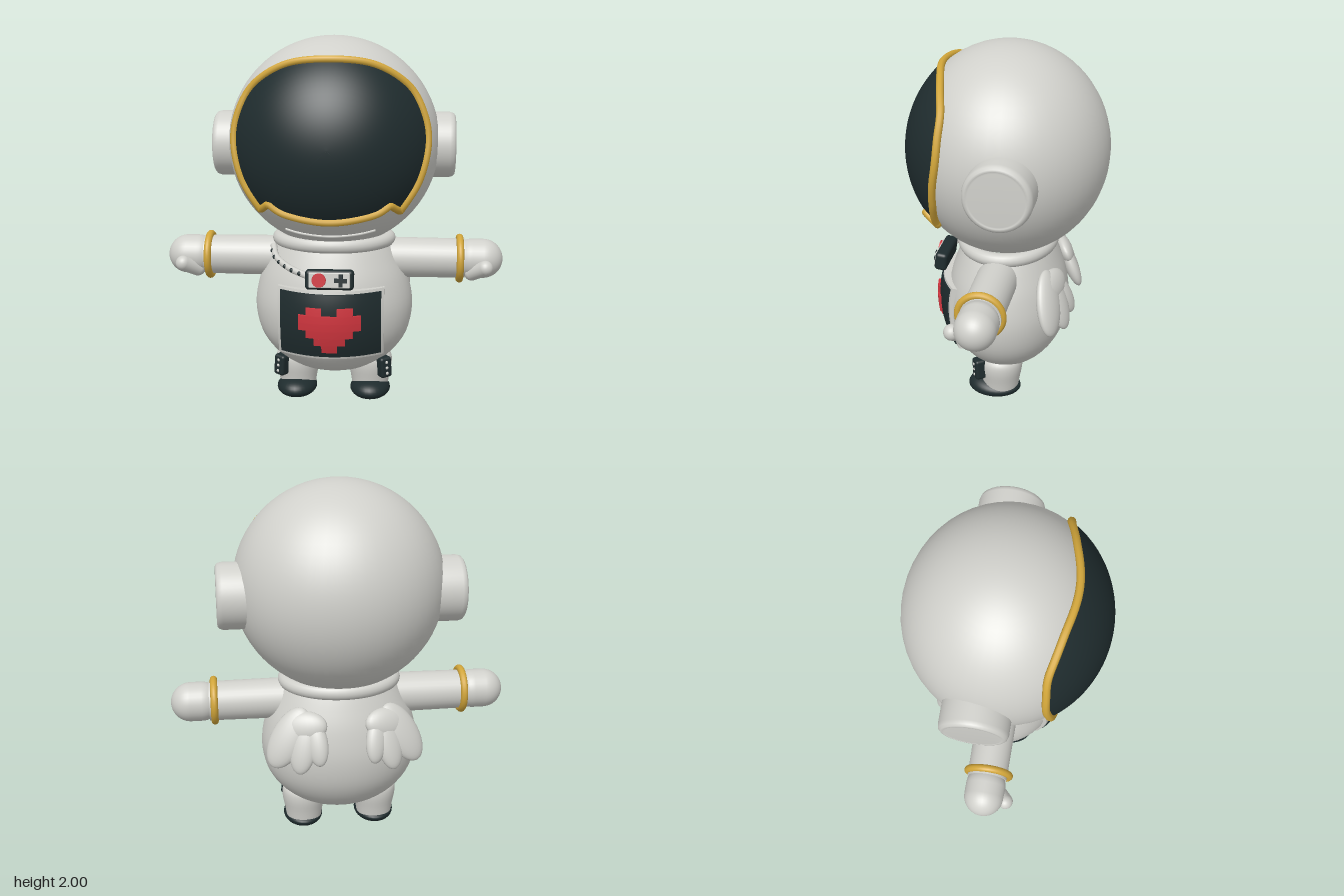
import * as THREE from 'three';
import { RoundedBoxGeometry } from 'three/addons/geometries/RoundedBoxGeometry.js';

const mat = (name, color) => {
  const m = new THREE.MeshStandardMaterial({ color });
  m.name = name;
  return m;
};
const V2 = (x, y) => new THREE.Vector2(x, y);
const V3 = (x, y, z) => new THREE.Vector3(x, y, z);

export function createModel() {
  const suit = mat('suit white', 0xd0d0cb);
  const dark = mat('dark glass', 0x1f2c2e);
  const gold = mat('gold trim', 0xd2a63a);
  const red = mat('pixel red', 0xd0353e);

  const root = new THREE.Group();
  root.name = 'astronaut';

  const add = (name, geo, material, pos = [0, 0, 0], rot = [0, 0, 0], parent = root) => {
    const m = new THREE.Mesh(geo, material);
    m.name = name;
    m.position.set(...pos);
    m.rotation.set(...rot);
    parent.add(m);
    return m;
  };
  const ball = (rx, ry, rz, w = 32, h = 24) => new THREE.SphereGeometry(1, w, h).scale(rx, ry, rz);
  const lathe = (pts, seg = 48) => new THREE.LatheGeometry(pts.map(p => V2(...p)), seg);
  const smoothLathe = (pts, n, seg) =>
    new THREE.LatheGeometry(new THREE.SplineCurve(pts.map(p => V2(...p))).getPoints(n)
      .map(p => V2(Math.max(p.x, 0), p.y)), seg);

  // Helmet
  const HY = 1.43;
  add('helmet', ball(0.57, 0.57, 0.54, 48, 36), suit, [0, HY, 0]);
  const onHelmet = (x, y, k = 1) => {
    const q = 1 - (x / (0.57 * k)) ** 2 - ((y - HY) / (0.57 * k)) ** 2;
    return V3(x, y, 0.54 * k * Math.sqrt(Math.max(q, 0)));
  };

  // Visor outline: a rounded top and two small notches at the bottom
  const half = [[0.365, 1.11], [0.46, 1.27], [0.502, 1.46], [0.475, 1.62], [0.39, 1.76], [0.22, 1.86]];
  const mirrored = half.map(([x, y]) => [-x, y]).reverse();
  const top = new THREE.SplineCurve([...half, [0, 1.885], ...mirrored].map(p => V2(...p))).getPoints(72);
  const bottom = new THREE.SplineCurve(
    [[-0.31, 1.15], [-0.22, 1.1], [0, 1.068], [0.22, 1.1], [0.31, 1.15]].map(p => V2(...p))).getPoints(28);
  const outline = [...top, V2(-0.338, 1.13), ...bottom, V2(0.338, 1.13)];

  // Visor glass: rings from the middle out to the outline, laid on the helmet
  const RINGS = 16, N = outline.length, pos = [], idx = [];
  for (let r = 0; r <= RINGS; r++) {
    for (const p of outline) {
      const t = r / RINGS;
      pos.push(...onHelmet(p.x * t, 1.45 + (p.y - 1.45) * t, 1.016).toArray());
    }
  }
  for (let r = 0; r < RINGS; r++) {
    for (let i = 0; i < N; i++) {
      const a = r * N + i, b = r * N + (i + 1) % N;
      if (r > 0) idx.push(a, b + N, b);
      idx.push(a, a + N, b + N);
    }
  }
  const glass = new THREE.BufferGeometry();
  glass.setAttribute('position', new THREE.Float32BufferAttribute(pos, 3));
  glass.setIndex(idx);
  glass.computeVertexNormals();
  add('visor', glass, dark);
  const rim = new THREE.CatmullRomCurve3(outline.map(p => onHelmet(p.x, p.y, 1.02)), true);
  add('visorTrim', new THREE.TubeGeometry(rim, 240, 0.02, 10, true), gold);

  // Crease below the visor
  const crease = new THREE.CatmullRomCurve3(
    [-0.235, -0.15, 0, 0.15, 0.235].map(x => onHelmet(x, 0.972 + 0.5 * x * x, 1.005)));
  add('helmetCrease', new THREE.TubeGeometry(crease, 32, 0.008, 8), suit);

  // Collar and body
  add('collar', new THREE.TorusGeometry(0.3, 0.04, 16, 48).rotateX(Math.PI / 2).scale(1, 0.95, 0.82),
    suit, [0, 0.9, 0]);
  add('body', smoothLathe([[0, 0.14], [0.17, 0.165], [0.31, 0.245], [0.405, 0.37], [0.437, 0.53],
    [0.41, 0.69], [0.355, 0.82], [0.3, 0.92]], 32, 48).scale(1, 1, 0.775), suit);

  // Chest screen: plates bent to follow the belly
  const bent = (x, y, w, h, depth, lift) => {
    const g = new THREE.BoxGeometry(w, h, depth, Math.ceil(w / 0.03), Math.ceil(h / 0.03), 1);
    g.translate(x, y, lift - depth / 2);
    const p = g.attributes.position;
    for (let i = 0; i < p.count; i++) {
      p.setZ(i, p.getZ(i) + 0.385 - 1.35 * p.getX(i) ** 2 - 0.9 * (p.getY(i) - 0.54) ** 2);
    }
    g.computeVertexNormals();
    return g;
  };
  add('screenFrame', bent(0, 0.495, 0.57, 0.38, 0.06, 0), suit);
  add('screen', bent(0, 0.495, 0.54, 0.35, 0.02, 0.008), dark);
  const heart = new THREE.Group();
  heart.name = 'pixelHeart';
  root.add(heart);
  const C = 0.0415;
  // Each run is [row, first column, number of columns]
  [[0, 1, 2], [0, 5, 2], [1, 0, 8], [2, 0, 8], [3, 1, 6], [4, 2, 4], [5, 3, 2]].forEach(([r, c, n]) =>
    add('heartRow', bent((c + n / 2 - 4) * C, 0.6 - (r + 0.5) * C, n * C, C, 0.02, 0.022),
      red, [0, 0, 0], [0, 0, 0], heart));

  // Small controller on a beaded strap
  const pad = new THREE.Group();
  pad.name = 'controller';
  pad.position.set(0.002, 0.752, 0.365);
  pad.rotation.x = -0.12;
  root.add(pad);
  const Z = [0, 0, 0];
  add('controllerCase', new RoundedBoxGeometry(0.255, 0.105, 0.07, 3, 0.02), dark, Z, Z, pad);
  add('controllerFace', new RoundedBoxGeometry(0.215, 0.08, 0.012, 2, 0.005), suit, [0, 0, 0.034], Z, pad);
  add('controllerButton', new THREE.CylinderGeometry(0.036, 0.038, 0.016, 24), red,
    [-0.054, 0, 0.044], [Math.PI / 2, 0, 0], pad);
  add('crossKey', new THREE.BoxGeometry(0.066, 0.022, 0.008), dark, [0.06, 0, 0.043], Z, pad);
  add('crossKey', new THREE.BoxGeometry(0.022, 0.066, 0.008), dark, [0.06, 0, 0.043], Z, pad);
  const strap = new THREE.CatmullRomCurve3([V3(-0.325, 0.87, 0.1), V3(-0.3, 0.825, 0.18),
    V3(-0.22, 0.788, 0.275), V3(-0.11, 0.762, 0.35)]);
  add('strap', new THREE.TubeGeometry(strap, 32, 0.018, 10), suit);
  for (let i = 0; i < 6; i++) {
    const p = strap.getPointAt(0.12 + i * 0.145);
    const out = V3(p.x, 0, p.z * 1.6).normalize().multiplyScalar(0.012);
    add('strapBead', ball(0.012, 0.012, 0.012, 12, 8), dark, p.add(out).toArray());
  }

  for (const s of [1, -1]) {
    const side = new THREE.Group();
    side.name = s > 0 ? 'leftSide' : 'rightSide';
    root.add(side);
    const put = (name, geo, m, p, r = Z, parent = side) =>
      add(name, geo, m, [s * p[0], p[1], p[2]], [r[0], s * r[1], s * r[2]], parent);

    // Ear cap
    put('earCap', lathe([[0.178, 0], [0.178, 0.165], [0.172, 0.185], [0.16, 0.195], [0.148, 0.197],
      [0.145, 0.191], [0.14, 0.196], [0, 0.196]]), suit, [0.46, 1.41, -0.07], [0, 0, -Math.PI / 2]);

    // Arm, cuff and mitten
    put('arm', new THREE.CylinderGeometry(0.108, 0.112, 0.46, 32), suit, [0.49, 0.79, 0], [0, 0, -Math.PI / 2]);
    put('cuff', new THREE.TorusGeometry(0.115, 0.02, 12, 40), gold, [0.692, 0.79, 0.005], [0, Math.PI / 2, 0]);
    put('hand', new THREE.CapsuleGeometry(0.108, 0.06, 12, 32), suit, [0.79, 0.79, 0], [0, 0, -Math.PI / 2]);
    put('thumb', new THREE.CapsuleGeometry(0.042, 0.1, 8, 20), suit, [0.792, 0.742, 0.088], [0.95, 0, -0.75]);

    // Leg and boot
    put('leg', smoothLathe([[0.098, 0.03], [0.108, 0.1], [0.122, 0.18], [0.115, 0.235],
      [0.07, 0.268], [0, 0.278]], 20, 32), suit, [0.205, 0, 0.005]);
    const boot = ball(0.112, 0.055, 0.15);
    const bp = boot.attributes.position;
    for (let i = 0; i < bp.count; i++) {
      const y = bp.getY(i);
      bp.setY(i, y > 0 ? y * (1 + bp.getZ(i) * 2.5) : Math.max(y, -0.045));
    }
    boot.computeVertexNormals();
    put('boot', boot, dark, [0.207, 0.045, 0.04]);

    // Button plate on the leg
    const plate = new THREE.Group();
    plate.name = 'legPlate';
    plate.position.set(s * 0.286, 0.19, 0.113);
    plate.rotation.set(0, s * 0.6, s * 0.08);
    side.add(plate);
    add('legPlateBase', new RoundedBoxGeometry(0.07, 0.118, 0.06, 3, 0.015), dark, Z, Z, plate);
    for (const y of [-0.032, 0, 0.032]) {
      add('legButton', ball(0.009, 0.009, 0.006, 12, 8), suit, [0, y, 0.03], Z, plate);
    }

    // Wing of three fanned feathers
    const wing = new THREE.Group();
    wing.name = 'wing';
    wing.position.set(s * 0.24, 0.66, -0.305);
    wing.rotation.set(0.38, -s * 0.32, 0);
    side.add(wing);
    [[0.07, 0.02, 0.095, 0.18, 0.045, 0.55], [-0.01, -0.025, 0.075, 0.155, 0.042, 0.18],
      [-0.085, -0.015, 0.06, 0.125, 0.038, -0.12]].forEach(([x, y, rx, ry, rz, tilt]) =>
      put('feather', ball(rx, ry, rz, 24, 18), suit, [x, y, 0], [0, 0, tilt], wing));
    put('wingTop', ball(0.13, 0.085, 0.045, 24, 18), suit, [-0.015, 0.075, 0], Z, wing);
  }
  return root;
}
